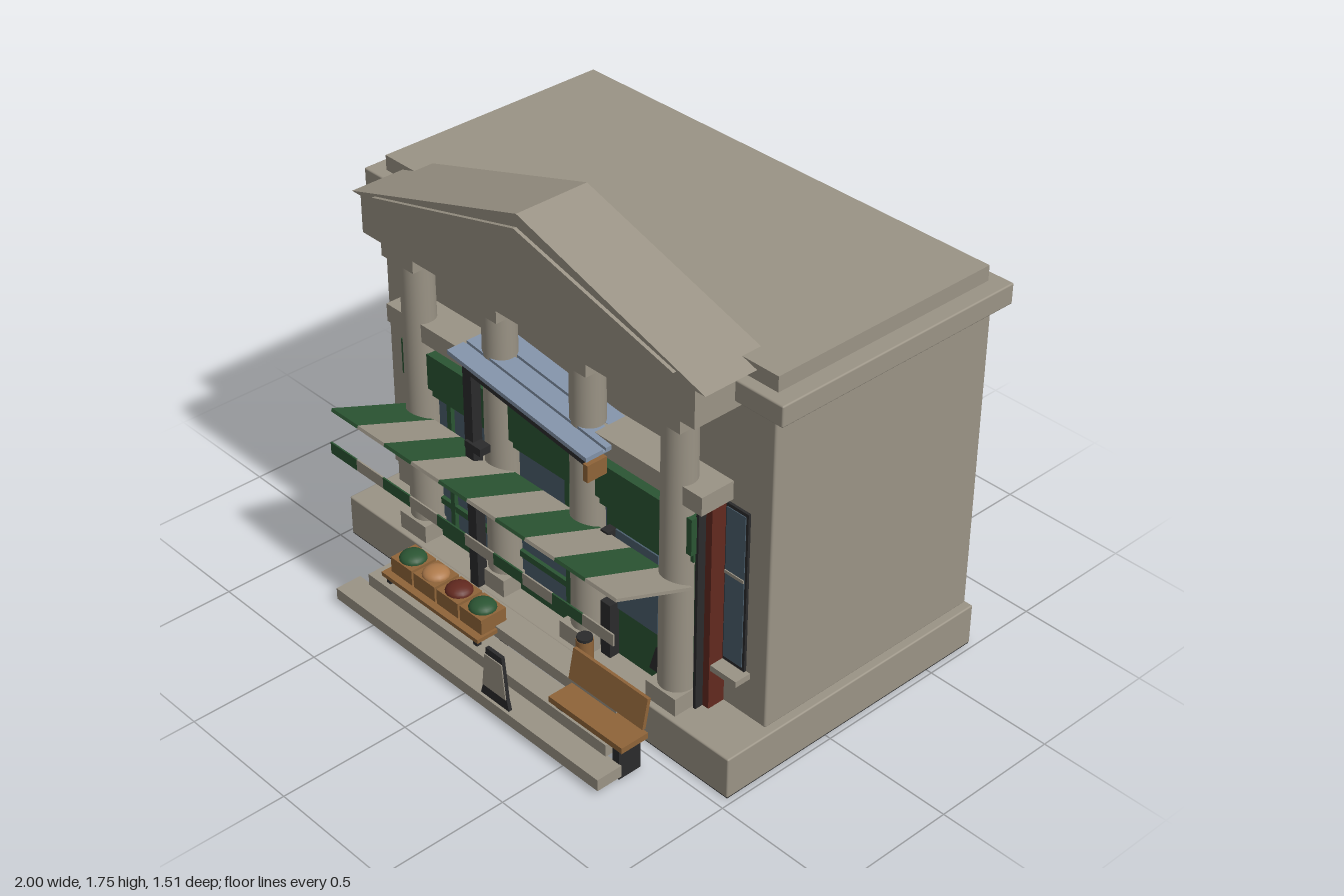
import * as THREE from 'three';
import { RoundedBoxGeometry } from 'three/addons/geometries/RoundedBoxGeometry.js';

const mat = (name, color) => {
  const m = new THREE.MeshStandardMaterial({ color });
  m.name = name;
  return m;
};

export function createModel() {
  const stone = mat('stone', 0x9a9385);
  const green = mat('shop green', 0x2b5533);
  const red = mat('brick red', 0x62291f);
  const glass = mat('window glass', 0x4a5d6b);
  const dark = mat('charcoal', 0x2b2b2c);
  const wood = mat('wood', 0x8f6439);
  const steel = mat('pale blue metal', 0x8292a8);
  const tan = mat('tan produce', 0xae7a4b);

  const model = new THREE.Group();
  const add = (name, geometry, material, x = 0, y = 0, z = 0) => {
    const m = new THREE.Mesh(geometry, material);
    m.name = name;
    m.position.set(x, y, z);
    model.add(m);
    return m;
  };
  // Box given by its limits on each axis, with an optional rounded edge
  const box = (name, material, x0, x1, y0, y1, z0, z1, edge = 0) => {
    const size = [x1 - x0, y1 - y0, z1 - z0];
    const geometry = edge ? new RoundedBoxGeometry(...size, 2, edge) : new THREE.BoxGeometry(...size);
    return add(name, geometry, material, (x0 + x1) / 2, (y0 + y1) / 2, (z0 + z1) / 2);
  };
  // Upright outline pushed from z0 to z1
  const plate = (name, material, points, z0, z1) => {
    const shape = new THREE.Shape(points.map(([x, y]) => new THREE.Vector2(x, y)));
    return add(name, new THREE.ExtrudeGeometry(shape, { depth: z1 - z0, bevelEnabled: false }), material, 0, 0, z0);
  };

  // Main building
  box('foundation', dark, -0.977, 0.977, 0, 0.006, -0.717, 0.457);
  box('plinth', stone, -0.98, 0.98, 0.003, 0.165, -0.72, 0.46, 0.006);
  box('mainBlock', stone, -0.947, 0.947, 0.16, 1.385, -0.718, 0.26, 0.008);
  box('cornice', stone, -1, 1, 1.375, 1.453, -0.755, 0.29, 0.006);
  box('roofCap', stone, -0.935, 0.935, 1.45, 1.51, -0.705, 0.245);

  // Portico
  box('entablature', stone, -0.8, 0.8, 1.35, 1.5, 0.2, 0.459);
  plate('pedimentRoof', stone, [[-0.845, 1.49], [0.845, 1.49], [0, 1.755]], 0.165, 0.46);
  plate('tympanum', stone, [[-0.72, 1.52], [0.72, 1.52], [0, 1.708]], 0.46, 0.473);
  for (const x of [-0.64, -0.215, 0.215, 0.64]) {
    add('columnShaft', new THREE.CylinderGeometry(0.06, 0.065, 1.06, 24), stone, x, 0.765, 0.362);
    box('columnCapital', stone, x - 0.083, x + 0.083, 1.287, 1.342, 0.278, 0.444);
    box('columnBase', stone, x - 0.07, x + 0.07, 0.165, 0.235, 0.295, 0.437);
  }

  // Front steps
  box('topStep', stone, -0.56, 0.56, 0.118, 0.165, 0.46, 0.56);
  box('middleStep', stone, -0.62, 0.62, 0.068, 0.116, 0.56, 0.66);
  box('bottomStep', stone, -0.685, 0.685, 0.02, 0.066, 0.65, 0.755);

  // Shopfront surround
  box('lintel', stone, -0.775, 0.775, 0.985, 1.055, 0.26, 0.397);
  box('shopSurround', red, -0.755, 0.755, 0.165, 0.982, 0.26, 0.33);
  for (const s of [-1, 1]) {
    box('surroundEdge', dark, s * 0.722 - 0.006, s * 0.722 + 0.006, 0.165, 0.98, 0.33, 0.362);
    // Narrow side windows
    box('sideWindowFrame', dark, s * 0.802 - 0.052, s * 0.802 + 0.052, 0.345, 0.97, 0.255, 0.27);
    box('sideWindowGlass', glass, s * 0.802 - 0.042, s * 0.802 + 0.042, 0.36, 0.957, 0.268, 0.273);
    box('sideWindowBar', stone, s * 0.802 - 0.042, s * 0.802 + 0.042, 0.7, 0.712, 0.272, 0.277);
    box('sideWindowSill', stone, s * 0.802 - 0.07, s * 0.802 + 0.07, 0.322, 0.345, 0.26, 0.325);
  }

  // Shop window, mullions and fascia
  box('shopGlass', glass, -0.716, 0.29, 0.19, 0.8, 0.33, 0.34);
  box('windowBottomRail', green, -0.716, 0.29, 0.165, 0.195, 0.33, 0.36);
  box('windowRail', green, -0.716, 0.29, 0.3, 0.325, 0.34, 0.355);
  for (const x of [-0.705, -0.51, -0.21, 0.1]) {
    box('windowMullion', green, x - 0.011, x + 0.011, 0.165, 0.8, 0.34, 0.356);
  }
  box('fascia', green, -0.72, 0.72, 0.795, 0.935, 0.33, 0.385);
  box('fasciaLower', green, -0.716, 0.716, 0.76, 0.795, 0.33, 0.37);

  // Shop door
  box('door', green, 0.29, 0.716, 0.165, 0.8, 0.33, 0.35);
  box('doorGlass', glass, 0.337, 0.54, 0.36, 0.68, 0.35, 0.356);
  plate('doorKickPlate', dark, [[0.5, 0.2], [0.64, 0.2], [0.64, 0.36], [0.58, 0.35], [0.53, 0.3]], 0.35, 0.355);
  box('doorHandle', dark, 0.303, 0.336, 0.53, 0.68, 0.35, 0.39);
  box('doorLock', dark, 0.3, 0.346, 0.165, 0.385, 0.35, 0.39);

  // Striped awning and hanging valance
  const stripe = 0.143;
  for (let i = 0; i < 10; i++) {
    const x = -0.715 + stripe * (i + 0.5);
    const colour = i % 2 ? stone : green;
    const panel = add('awningStripe', new THREE.BoxGeometry(stripe, 0.012, 0.348), colour, x, 0.722, 0.537);
    panel.rotation.x = -Math.atan2(0.125, 0.325);
    box('valanceStripe', colour, x - stripe / 2, x + stripe / 2, 0.612, 0.657, 0.707, 0.713);
  }

  // Post with sloping arm and metal sheet
  box('post', dark, -0.29, -0.247, 0.165, 1.07, 0.425, 0.465);
  plate('slopingArm', dark, [[-0.29, 1.045], [0.345, 0.965], [0.345, 0.998], [-0.27, 1.082], [-0.29, 1.075]], 0.425, 0.465);
  box('armEnd', wood, 0.352, 0.374, 0.955, 1.02, 0.425, 0.508);
  for (const z of [0.3, 0.385, 0.47]) {
    plate('metalSheet', steel, [[-0.315, 1.115], [0.365, 1.03], [0.365, 1.045], [-0.315, 1.13]], z - 0.036, z + 0.036);
  }
  plate('sheetLining', steel, [[-0.315, 1.113], [0.365, 1.028], [0.365, 1.034], [-0.315, 1.119]], 0.265, 0.505);
  box('postBracket', dark, -0.28, -0.2, 0.745, 0.775, 0.43, 0.475);

  // Produce stand
  box('standTop', wood, -0.555, -0.035, 0.142, 0.158, 0.5, 0.65);
  for (const x of [-0.53, -0.06]) {
    for (const z of [0.515, 0.63]) box('standLeg', dark, x - 0.01, x + 0.01, 0, 0.142, z - 0.01, z + 0.01);
  }
  [green, tan, red, green].forEach((colour, i) => {
    const x = -0.477 + i * 0.125;
    box('crate', wood, x - 0.057, x + 0.057, 0.158, 0.22, 0.512, 0.622);
    const heap = add('produceHeap', new THREE.SphereGeometry(0.05, 16, 8, 0, Math.PI * 2, 0, Math.PI / 2), colour, x, 0.22, 0.567);
    heap.scale.y = 0.55;
  });

  // Bench
  box('benchSeat', wood, 0.345, 0.7, 0.132, 0.155, 0.547, 0.663);
  const back = box('benchBack', wood, 0.342, 0.7, 0.178, 0.296, 0.547, 0.561);
  back.rotation.x = -0.2;
  for (const x of [0.385, 0.66]) {
    box('benchLeg', dark, x - 0.015, x + 0.015, 0, 0.132, 0.556, 0.652);
  }

  // Barrel beside the bench
  add('barrel', new THREE.CylinderGeometry(0.03, 0.03, 0.295, 16), wood, 0.332, 0.148, 0.49);
  add('barrelLid', new THREE.CylinderGeometry(0.028, 0.028, 0.012, 16), dark, 0.332, 0.301, 0.49);

  // Pavement board
  plate('boardFrame', dark, [[0.093, 0.008], [0.235, 0.008], [0.235, 0.07], [0.225, 0.11], [0.205, 0.275], [0.125, 0.275], [0.105, 0.11], [0.093, 0.07]], 0.73, 0.744);
  plate('boardPanel', stone, [[0.106, 0.11], [0.224, 0.11], [0.208, 0.248], [0.122, 0.248]], 0.744, 0.748);

  return model;
}
